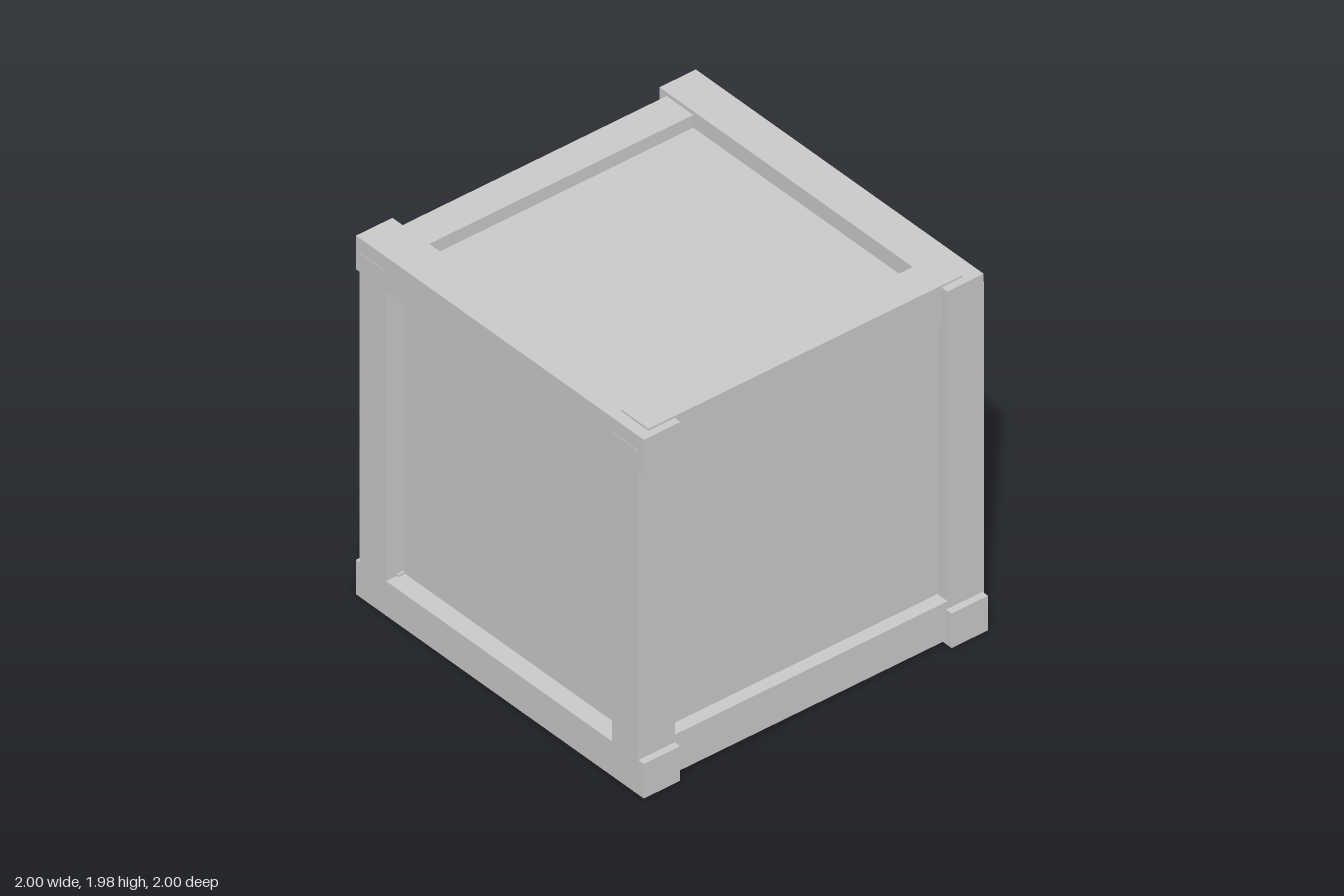
import * as THREE from 'three';

// Wooden crate: inset panel core framed by slightly misaligned beams
export function createModel() {
  const crate = new THREE.Group();
  crate.name = 'crate';
  const material = new THREE.MeshStandardMaterial({ color: 0xcccccc, flatShading: true });

  // Box given by its [min, max] range on each axis
  const addBox = (name, x, y, z) => {
    const mesh = new THREE.Mesh(
      new THREE.BoxGeometry(x[1] - x[0], y[1] - y[0], z[1] - z[0]), material);
    mesh.position.set((x[0] + x[1]) / 2, (y[0] + y[1]) / 2, (z[0] + z[1]) / 2);
    mesh.name = name;
    crate.add(mesh);
  };

  // Inset panels
  addBox('panelCore', [-0.9, 0.9], [0.09, 1.88], [-0.9, 0.89]);

  // Long rails running front to back
  const depth = [-1, 1];
  addBox('topRightRail', [-1, -0.79], [1.785, 1.97], depth);
  addBox('topLeftRail', [0.75, 0.96], [1.785, 1.97], depth);
  addBox('bottomRightRail', [-1, -0.79], [0, 0.19], depth);
  addBox('bottomLeftRail', [0.775, 0.985], [0, 0.19], depth);

  // Cross rails running side to side
  const width = [-0.94, 0.87];
  addBox('topFrontRail', width, [1.77, 1.98], [0.77, 0.96]);
  addBox('topBackRail', width, [1.76, 1.95], [-0.95, -0.765]);
  addBox('bottomFrontRail', width, [0.02, 0.23], [0.77, 0.96]);
  addBox('bottomBackRail', width, [0.01, 0.2], [-0.97, -0.78]);

  // Corner posts
  const height = [0.07, 1.89];
  addBox('frontLeftPost', [0.785, 0.993], height, [0.78, 0.962]);
  addBox('frontRightPost', [-1.002, -0.79], height, [0.78, 0.962]);
  addBox('backLeftPost', [0.76, 0.965], height, [-0.972, -0.79]);
  addBox('backRightPost', [-1.002, -0.79], height, [-0.972, -0.79]);

  return crate;
}
